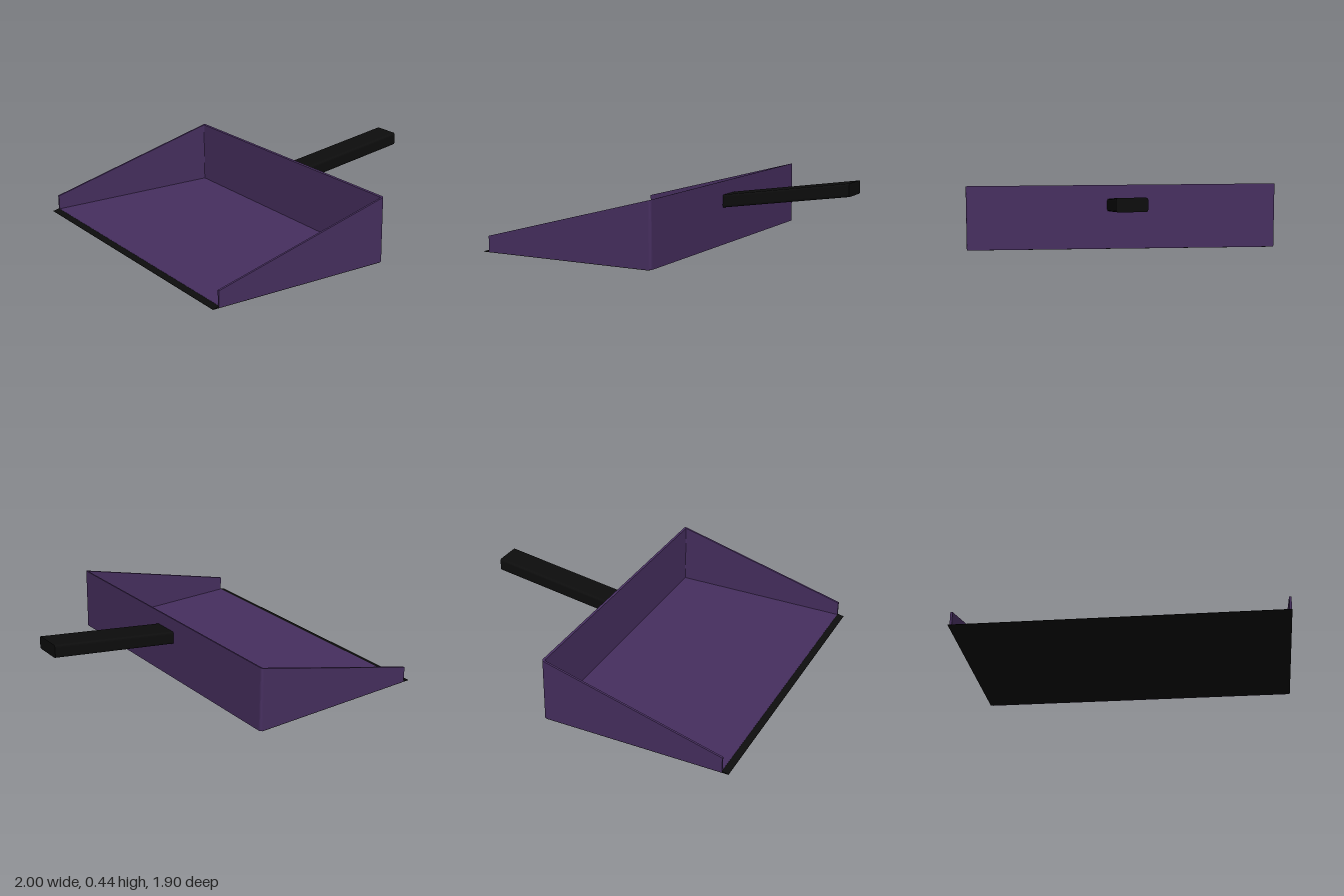
import * as THREE from 'three';

const purple = new THREE.MeshStandardMaterial({ color: 0x472f60 });
const black = new THREE.MeshStandardMaterial({ color: 0x0d0d0d });

const FRONT = -0.96, BACK = 0.172, HALF = 0.95, WALL = 0.013, FLOOR = 0.012;

function add(group, name, geometry, material) {
  const mesh = new THREE.Mesh(geometry, material);
  mesh.name = name;
  group.add(mesh);
}

// Traces one side of the tray plan, rounding the two back corners
function tracePlan(shape, back, half, r, reverse) {
  const s = reverse ? 1 : -1;
  shape.lineTo(FRONT, s * half);
  shape.lineTo(back - r, s * half);
  shape.quadraticCurveTo(back, s * half, back, s * (half - r));
  shape.lineTo(back, -s * (half - r));
  shape.quadraticCurveTo(back, -s * half, back - r, -s * half);
  shape.lineTo(FRONT, -s * half);
}

// Extrudes a plan upwards from height y
function extrudeUp(shape, y, height) {
  const g = new THREE.ExtrudeGeometry(shape, { depth: height, bevelEnabled: false, curveSegments: 4 });
  return g.rotateX(-Math.PI / 2).translate(0, y, 0);
}

// Extrudes a side profile across z, centred
function extrudeAcross(points, width) {
  const shape = new THREE.Shape(points.map(([x, y]) => new THREE.Vector2(x, y)));
  const g = new THREE.ExtrudeGeometry(shape, { depth: width, bevelEnabled: false });
  return g.translate(0, 0, -width / 2);
}

export function createModel() {
  const model = new THREE.Group();
  model.name = 'dustpan';

  // Floor of the pan
  const floorPlan = new THREE.Shape();
  floorPlan.moveTo(FRONT, -HALF);
  tracePlan(floorPlan, BACK, HALF, 0.016, false);
  add(model, 'floor', extrudeUp(floorPlan, 0.003, FLOOR - 0.003), purple);

  // U-shaped wall, its top edge sloping down towards the lip
  const wallPlan = new THREE.Shape();
  wallPlan.moveTo(FRONT, -HALF);
  tracePlan(wallPlan, BACK, HALF, 0.016, false);
  tracePlan(wallPlan, BACK - WALL, HALF - WALL, 0.006, true);
  const wall = extrudeUp(wallPlan, 0.003, 1);
  const p = wall.attributes.position;
  for (let i = 0; i < p.count; i++) {
    if (p.getY(i) > 0.5) p.setY(i, 0.1 + (p.getX(i) - FRONT) * 0.265);
  }
  wall.computeVertexNormals();
  add(model, 'walls', wall, purple);

  // Rubber underside and tapered sweeping lip
  add(model, 'rubberBase', extrudeAcross(
    [[-1, 0], [BACK - 0.014, 0], [BACK - 0.014, 0.003], [FRONT, 0.003], [FRONT, 0.011], [-1, 0.002]],
    2 * HALF), black);

  // Handle: rounded bar, sheared upwards with upright ends
  const w = 0.088, h = 0.04, r = 0.014;
  const section = new THREE.Shape();
  section.moveTo(-w + r, -h);
  section.lineTo(w - r, -h);
  section.quadraticCurveTo(w, -h, w, -h + r);
  section.lineTo(w, h - r);
  section.quadraticCurveTo(w, h, w - r, h);
  section.lineTo(-w + r, h);
  section.quadraticCurveTo(-w, h, -w, h - r);
  section.lineTo(-w, -h + r);
  section.quadraticCurveTo(-w, -h, -w + r, -h);
  const start = BACK - 0.004;
  const handle = new THREE.ExtrudeGeometry(section, { depth: 1 - start, bevelEnabled: false, curveSegments: 4 });
  handle.rotateY(Math.PI / 2).translate(start, 0.275, 0);
  const hp = handle.attributes.position;
  for (let i = 0; i < hp.count; i++) {
    hp.setY(i, hp.getY(i) + (hp.getX(i) - start) * 0.15);
  }
  handle.computeVertexNormals();
  add(model, 'handle', handle, black);

  return model;
}
